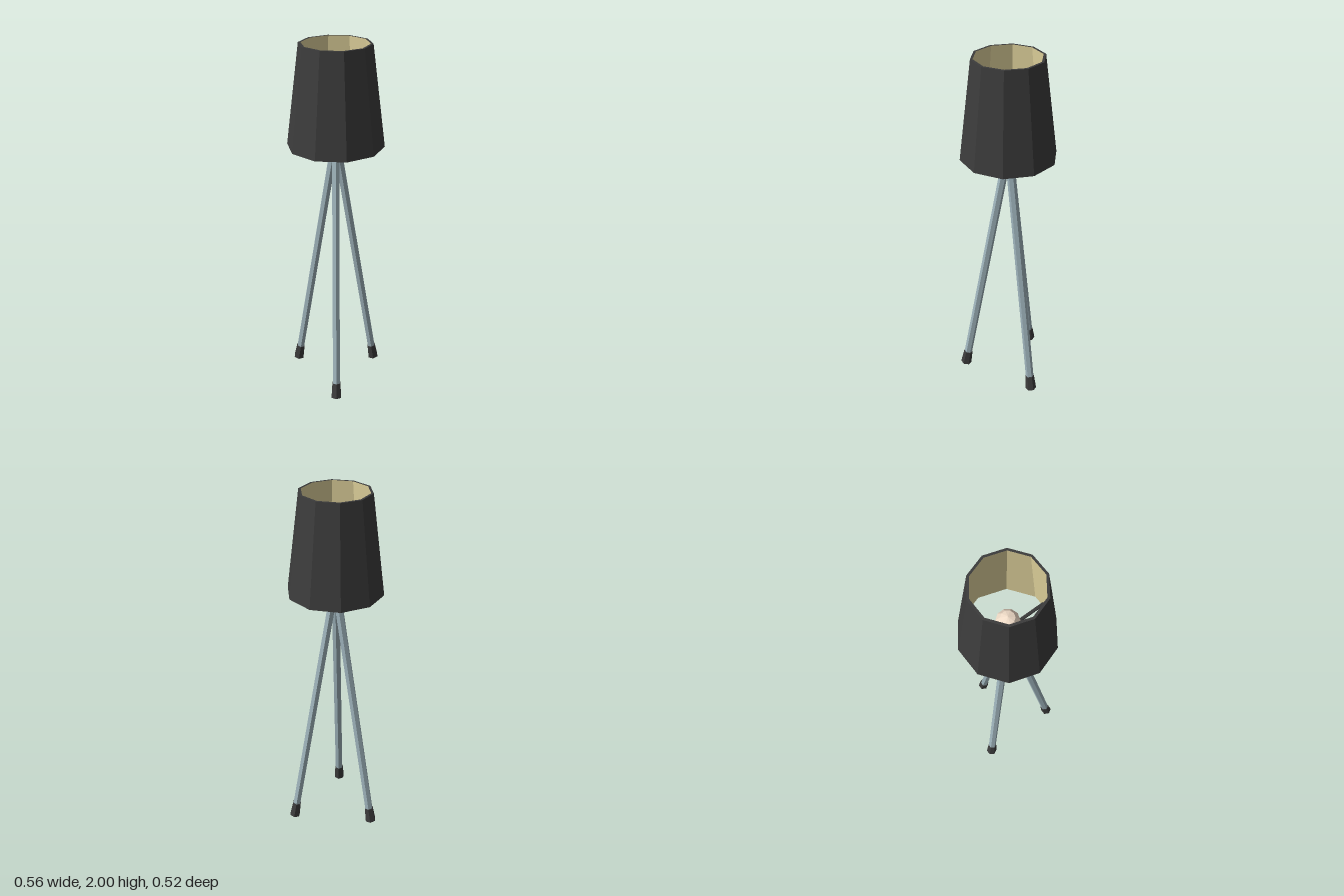
import * as THREE from 'three';

const mat = (color) => new THREE.MeshStandardMaterial({ color, flatShading: true });

export function createModel() {
  const lamp = new THREE.Group();
  lamp.name = 'tripodLamp';
  const dark = mat(0x3c3c3c);
  const metal = mat(0x9fb4bc);
  const cream = mat(0xe6d8a0);
  const glass = mat(0xf0dcc8);

  const add = (parent, name, geometry, material, y = 0) => {
    const mesh = new THREE.Mesh(geometry, material);
    mesh.name = name;
    mesh.position.y = y;
    parent.add(mesh);
    return mesh;
  };

  // Ten-sided ring surface with corners on the x axis
  const lathe = (points) => new THREE.LatheGeometry(
    points.map(([r, y]) => new THREE.Vector2(r, y)), 10, Math.PI / 2);

  // Six-sided rod with a corner on the x axis
  const rod = (top, bottom, height) =>
    new THREE.CylinderGeometry(top, bottom, height, 6).rotateY(Math.PI / 2);

  // Shade: dark shell with rims, cream lining inside
  add(lamp, 'shadeShell', lathe([[0.248, 1.46], [0.26, 1.46], [0.19, 2], [0.177, 2]]), dark);
  add(lamp, 'shadeLining', lathe([[0.177, 2], [0.248, 1.46]]), cream);

  // Bulb, socket hub and the bar that carries the shade
  add(lamp, 'bulb', new THREE.SphereGeometry(0.063, 10, 5).rotateY(Math.PI / 2), glass, 1.615);
  add(lamp, 'hub', rod(0.025, 0.054, 0.17), dark, 1.475);
  add(lamp, 'shadeBar', new THREE.CylinderGeometry(0.009, 0.009, 0.47, 6).rotateX(Math.PI / 2), dark, 1.525);

  // Three splayed legs with rubber feet
  const lean = Math.atan(0.179);
  const legLength = 1.45;
  const footLength = 0.09;
  for (let i = 0; i < 3; i++) {
    const turn = new THREE.Group();
    turn.name = 'legAssembly' + (i + 1);
    turn.rotation.y = i * Math.PI * 2 / 3;
    const tilted = new THREE.Group();
    tilted.name = 'legTilt';
    tilted.position.set(0.268, 0.0057, 0);
    tilted.rotation.z = lean;
    add(tilted, 'leg', rod(0.023, 0.023, legLength - 0.02), metal, legLength / 2 + 0.01);
    add(tilted, 'foot', rod(0.026, 0.032, footLength), dark, footLength / 2);
    turn.add(tilted);
    lamp.add(turn);
  }

  // Shift so the overall width is centred
  lamp.position.x = -0.02;
  const model = new THREE.Group();
  model.name = 'floorLamp';
  model.add(lamp);
  return model;
}
